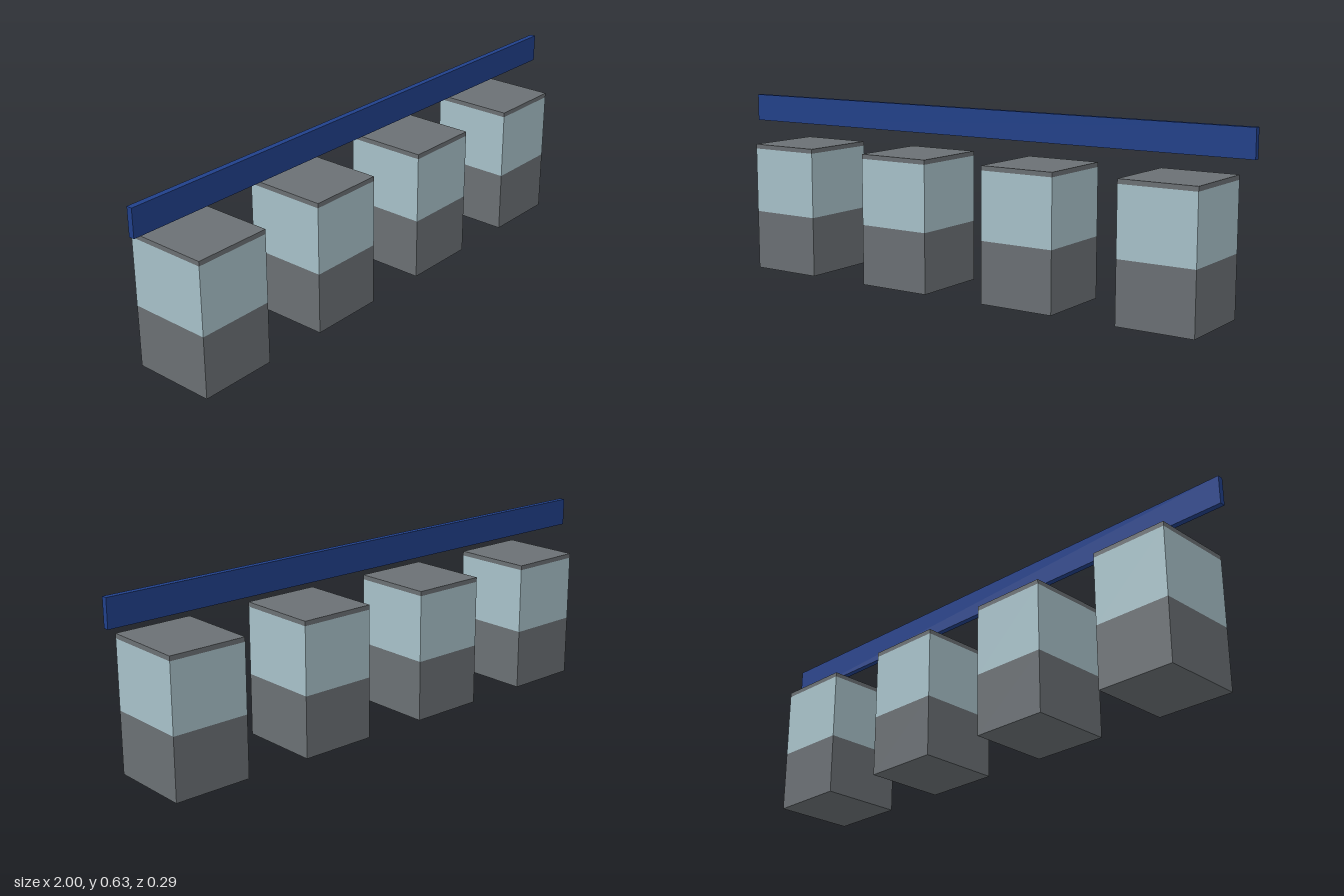
import * as THREE from 'three';

const grey = new THREE.MeshStandardMaterial({ name: 'grey metal', color: 0x6b7074 });
const glass = new THREE.MeshStandardMaterial({ name: 'pale blue glass', color: 0xa8c2ca });
const blue = new THREE.MeshStandardMaterial({ name: 'dark blue', color: 0x21408a });

// Box spanning the heights y0 to y1, centred on x = 0 and z = 0
function slab(name, material, width, depth, y0, y1) {
  const mesh = new THREE.Mesh(new THREE.BoxGeometry(width, y1 - y0, depth), material);
  mesh.name = name;
  mesh.position.y = (y0 + y1) / 2;
  return mesh;
}

export function createModel() {
  const model = new THREE.Group();
  model.name = 'boothRow';

  // Four booths, each a solid base, a glazed band and a thin roof
  const width = 0.269, depth = 0.288;
  for (let i = 0; i < 4; i++) {
    const booth = new THREE.Group();
    booth.name = `booth${i + 1}`;
    booth.position.x = -0.75 + i * 0.5;
    booth.add(
      slab('base', grey, width, depth, 0, 0.212),
      slab('windowBand', glass, width, depth, 0.212, 0.444),
      slab('roof', grey, width, depth, 0.444, 0.46)
    );
    model.add(booth);
  }

  // Long sign board above the booths
  model.add(slab('signBoard', blue, 2, 0.02, 0.531, 0.627));
  return model;
}
